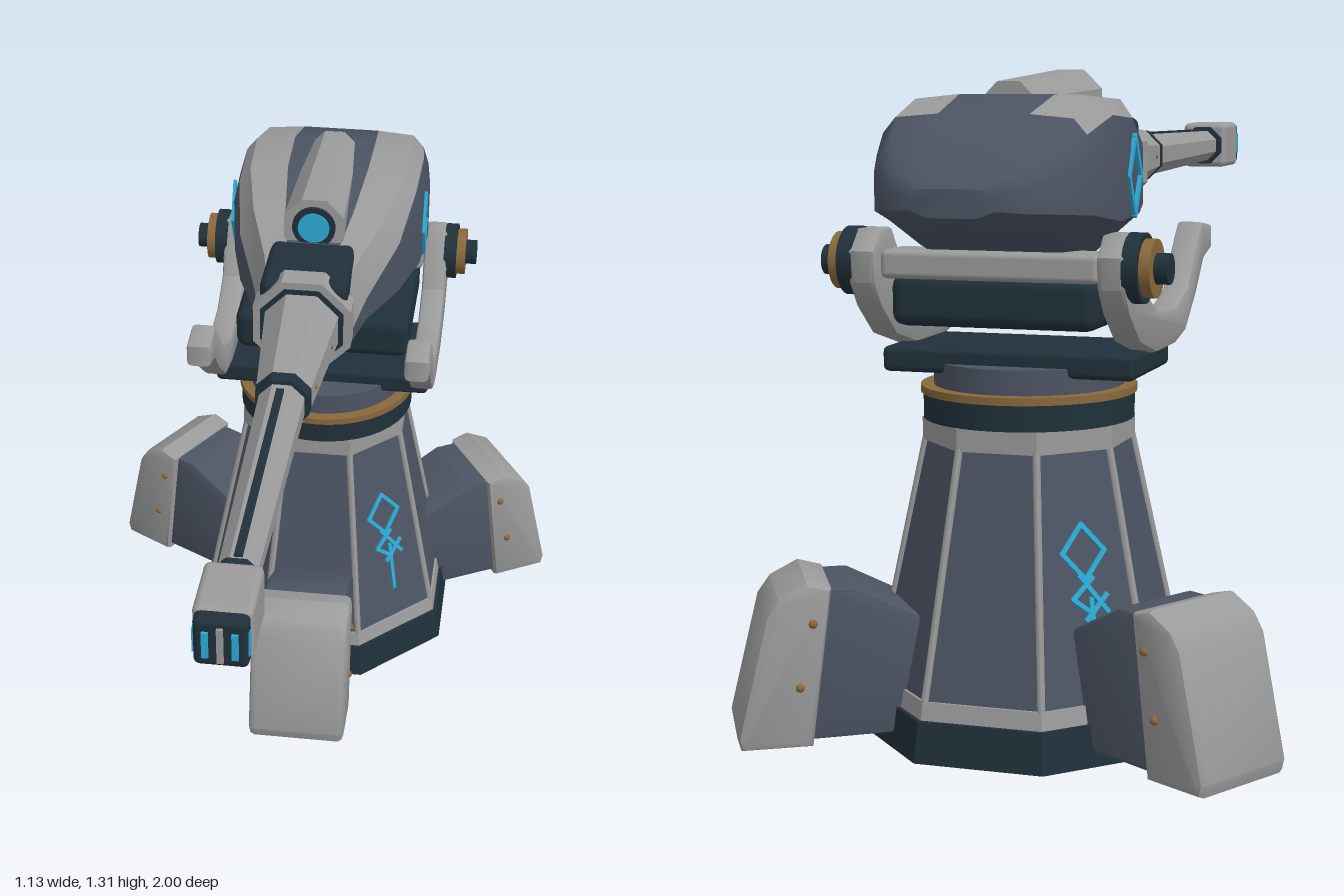
import * as THREE from 'three';
import { toCreasedNormals } from 'three/addons/utils/BufferGeometryUtils.js';
import { RoundedBoxGeometry } from 'three/addons/geometries/RoundedBoxGeometry.js';

const material = (name, color, side = THREE.FrontSide) => {
  const m = new THREE.MeshStandardMaterial({ color, side });
  m.name = name;
  return m;
};
const light = material('light plate', 0x9a9b9a);
const slate = material('slate armour', 0x4c5463);
const dark = material('dark metal', 0x20303a);
const bronze = material('bronze', 0x8a683c);
const glow = material('blue glow', 0x2cabd8);

const ZC = -0.58; // centre line of the pedestal
const GUN_Y = 1.11; // barrel axis

function add(parent, name, geometry, mat, x = 0, y = 0, z = 0) {
  const mesh = new THREE.Mesh(geometry, mat);
  mesh.name = name;
  mesh.position.set(x, y, z);
  parent.add(mesh);
  return mesh;
}
function box(parent, name, mat, w, h, d, x, y, z, r = 0.012) {
  return add(parent, name, new RoundedBoxGeometry(w, h, d, 2, r), mat, x, y, z);
}
// Octagonal frustum, sized across its flats, standing on y
function octagon(low, high, height) {
  const k = 1 / Math.cos(Math.PI / 8);
  const g = new THREE.CylinderGeometry(high * k, low * k, height, 8).rotateY(Math.PI / 8);
  return toCreasedNormals(g, 0.5);
}
function octY(parent, name, mat, low, high, y0, y1) {
  return add(parent, name, octagon(low, high, y1 - y0), mat, 0, (y0 + y1) / 2, ZC);
}
function octZ(parent, name, mat, back, front, z0, z1, y = GUN_Y) {
  return add(parent, name, octagon(back, front, z1 - z0).rotateX(Math.PI / 2), mat, 0, y, (z0 + z1) / 2);
}
function drum(parent, name, mat, r, y0, y1) {
  return add(parent, name, new THREE.CylinderGeometry(r, r, y1 - y0, 40), mat, 0, (y0 + y1) / 2, ZC);
}
// Side profile of [z, y] points, extruded across x with bevelled edges
function profile(points, width, bevel = 0.01) {
  const shape = new THREE.Shape(points.map(([z, y]) => new THREE.Vector2(-z, y)));
  const g = new THREE.ExtrudeGeometry(shape, {
    depth: width - 2 * bevel, bevelThickness: bevel, bevelSize: bevel, bevelOffset: -bevel, bevelSegments: 2,
  });
  return toCreasedNormals(g.translate(0, 0, bevel - width / 2).rotateY(Math.PI / 2), 0.6);
}
// Thin glowing strokes on the local xy plane
function stroke(parent, a, b, w = 0.009) {
  const dx = b[0] - a[0], dy = b[1] - a[1];
  const g = new THREE.BoxGeometry(Math.hypot(dx, dy) + w * 0.6, w, 0.007);
  const m = add(parent, 'glowStroke', g, glow, (a[0] + b[0]) / 2, (a[1] + b[1]) / 2, 0);
  m.rotation.z = Math.atan2(dy, dx);
}
function diamond(parent, cx, cy, hw, hh, w) {
  const p = [[cx, cy + hh], [cx + hw, cy], [cx, cy - hh], [cx - hw, cy]];
  p.forEach((a, i) => stroke(parent, a, p[(i + 1) % 4], w));
}

function buildPedestal(root) {
  octY(root, 'foundation', dark, 0.312, 0.302, 0, 0.08);
  octY(root, 'lowerBand', light, 0.294, 0.288, 0.08, 0.115);
  octY(root, 'tower', slate, 0.284, 0.188, 0.11, 0.59);
  octY(root, 'upperBand', light, 0.195, 0.195, 0.585, 0.63);
  drum(root, 'turntable', dark, 0.209, 0.63, 0.683);
  drum(root, 'turntableRing', bronze, 0.214, 0.681, 0.696);
  drum(root, 'neck', slate, 0.188, 0.69, 0.745);
  // Seam strips along the corners
  const k = 1 / Math.cos(Math.PI / 8);
  for (let i = 0; i < 8; i++) {
    const a = (i + 0.5) * Math.PI / 4;
    const at = (r, y) => new THREE.Vector3(Math.sin(a) * r * k, y, ZC + Math.cos(a) * r * k);
    const path = new THREE.LineCurve3(at(0.283, 0.11), at(0.188, 0.59));
    add(root, 'seamStrip', new THREE.TubeGeometry(path, 1, 0.008, 6), light);
  }
  // Runes on two opposite faces
  for (const turn of [0.25, 1.25]) {
    const face = new THREE.Group();
    face.name = 'rune';
    face.rotation.set(-0.2, turn * Math.PI, 0, 'YXZ');
    face.position.set(Math.sin(turn * Math.PI) * 0.248, 0.3, ZC + Math.cos(turn * Math.PI) * 0.248);
    diamond(face, 0, 0.1, 0.045, 0.053);
    stroke(face, [-0.012, 0.055], [0.042, -0.018]);
    stroke(face, [0.015, 0.05], [-0.03, 0.012]);
    stroke(face, [-0.03, 0.012], [0.01, -0.02]);
    stroke(face, [0.042, 0.015], [-0.005, -0.03]);
    stroke(face, [0.008, 0.01], [0.008, -0.11]);
    root.add(face);
  }
}

function buildLegs(root) {
  const beam = profile([[0.18, 0.03], [0.47, 0.025], [0.43, 0.322], [0.36, 0.322], [0.18, 0.23]], 0.2);
  const cover = profile([[0.448, 0.015], [0.585, 0.015], [0.592, 0.04], [0.535, 0.275], [0.51, 0.31],
    [0.455, 0.338], [0.408, 0.325]], 0.23, 0.014);
  for (let i = 0; i < 3; i++) {
    const leg = new THREE.Group();
    leg.name = 'leg';
    leg.position.z = ZC;
    leg.rotation.y = i * Math.PI * 2 / 3;
    add(leg, 'legBeam', beam, slate);
    add(leg, 'legCover', cover, light);
    for (const s of [-1, 1]) for (const [r, y] of [[0.445, 0.26], [0.472, 0.136]])
      add(leg, 'bolt', new THREE.SphereGeometry(0.009, 10, 8), bronze, s * 0.114, y, r);
    root.add(leg);
  }
}

function buildCradle(root) {
  box(root, 'cradlePlate', dark, 0.51, 0.05, 0.26, 0, 0.75, -0.59);
  box(root, 'cradleBlock', dark, 0.41, 0.1, 0.35, 0, 0.875, -0.625, 0.025);
  box(root, 'crossBar', light, 0.43, 0.055, 0.1, 0, 0.945, -0.77);
  const arm = profile([[-0.185, 0.985], [-0.265, 0.995], [-0.315, 0.945], [-0.378, 0.87], [-0.47, 0.84],
    [-0.6, 0.848], [-0.68, 0.89], [-0.715, 0.97], [-0.745, 1.01], [-0.8, 1.01], [-0.84, 0.97], [-0.835, 0.91],
    [-0.8, 0.86], [-0.727, 0.8], [-0.61, 0.768], [-0.475, 0.768], [-0.394, 0.785], [-0.314, 0.85],
    [-0.25, 0.918], [-0.185, 0.935]], 0.056);
  for (const s of [-1, 1]) {
    add(root, 'cradleArm', arm, light, s * 0.245);
    for (const [name, mat, r, x0, x1] of [['hubDisc', dark, 0.066, 0.265, 0.295],
      ['hubRing', bronze, 0.055, 0.295, 0.316], ['hubCap', dark, 0.029, 0.316, 0.342]]) {
      const g = new THREE.CylinderGeometry(r, r, x1 - x0, 28).rotateZ(Math.PI / 2);
      add(root, name, g, mat, s * (x0 + x1) / 2, 0.947, -0.775);
    }
  }
}

// Body shell from cross-sections: z, half width, top, bottom, depth of the light band
const STATIONS = [
  [-0.12, 0.098, 1.185, 1.02, 0.68], [-0.25, 0.125, 1.195, 1.0, 0.48], [-0.4, 0.182, 1.232, 0.975, 0.28],
  [-0.55, 0.218, 1.26, 0.957, 0.15], [-0.7, 0.226, 1.262, 0.948, 0.12], [-0.83, 0.212, 1.228, 0.985, 0.15],
  [-0.92, 0.18, 1.175, 1.012, 0.15], [-0.975, 0.135, 1.13, 1.032, 0.15], [-1.0, 0.08, 1.1, 1.048, 0.15],
];
function bodyShell(wantLight) {
  const rings = STATIONS.map(([z, w, t, b, s]) => {
    const h = t - b, low = Math.min(0.25, 0.87 - s);
    const half = [[0, t], [0.42 * w, t], [0.82 * w, t - 0.03 * h], [Math.min(1, 0.87 + 0.45 * s) * w, t - s * h],
      [w, t - Math.max(0.32, s + 0.08) * h], [w, b + low * h], [0.6 * w, b], [0, b]];
    const mirrored = half.slice(1, 7).reverse().map(([x, y]) => [-x, y]);
    return [...half, ...mirrored].map(([x, y]) => [x, y, z]);
  });
  const pos = [], n = 14, last = rings.length - 1;
  for (let i = 0; i < last; i++) for (let j = 0; j < n; j++) {
    const isLight = i < 5 && [1, 2, 11, 12].includes(j);
    if (isLight !== wantLight) continue;
    const k = (j + 1) % n, a = rings[i][j], b = rings[i][k], c = rings[i + 1][k], d = rings[i + 1][j];
    pos.push(...a, ...b, ...c, ...a, ...c, ...d);
  }
  if (!wantLight) for (let j = 1; j < n - 1; j++) {
    pos.push(...rings[0][0], ...rings[0][j + 1], ...rings[0][j]);
    pos.push(...rings[last][0], ...rings[last][j], ...rings[last][j + 1]);
  }
  const g = new THREE.BufferGeometry();
  g.setAttribute('position', new THREE.Float32BufferAttribute(pos, 3));
  return toCreasedNormals(g, 0.6);
}

function buildBody(root) {
  add(root, 'bodyShell', bodyShell(false), slate);
  add(root, 'shoulderPanels', bodyShell(true), light);
  for (const s of [-1, 1]) {
    const mark = new THREE.Group();
    mark.name = 'sideMark';
    mark.position.set(s * 0.224, 1.107, -0.605);
    mark.rotation.y = s * Math.PI / 2;
    diamond(mark, 0, 0, 0.04, 0.075, 0.012);
    root.add(mark);
  }
  // Sight on top
  const sight = octZ(root, 'sightHousing', light, 0.055, 0.066, -0.69, -0.3, 1.236);
  sight.rotation.x = -0.025;
  const disc = (name, mat, r, z) => add(root, name,
    new THREE.CylinderGeometry(r, r, 0.008, 32).rotateX(Math.PI / 2), mat, 0, 1.243, z);
  disc('sightRim', dark, 0.048, -0.299);
  disc('sightLens', glow, 0.035, -0.296);
  box(root, 'breech', dark, 0.19, 0.12, 0.2, 0, 1.146, -0.21, 0.02);
}

function buildGun(root) {
  octZ(root, 'collar', light, 0.106, 0.106, -0.15, -0.095);
  octZ(root, 'collarInset', dark, 0.09, 0.09, -0.11, -0.092);
  octZ(root, 'shroud', light, 0.08, 0.056, -0.1, 0.19);
  octZ(root, 'shroudRing', dark, 0.057, 0.055, 0.185, 0.215);
  octZ(root, 'barrel', light, 0.047, 0.037, 0.21, 0.81);
  const slot = add(root, 'barrelSlot', new THREE.BoxGeometry(0.016, 0.009, 0.55), dark, 0, GUN_Y + 0.042, 0.51);
  slot.rotation.x = Math.atan(0.01 / 0.6);
  octZ(root, 'muzzleRing', dark, 0.046, 0.046, 0.8, 0.83);
  box(root, 'muzzle', light, 0.11, 0.112, 0.145, 0, GUN_Y, 0.893, 0.014);
  box(root, 'muzzleCap', dark, 0.1, 0.102, 0.04, 0, GUN_Y, 0.972, 0.012);
  add(root, 'muzzleBar', new THREE.BoxGeometry(0.012, 0.075, 0.008), light, 0, GUN_Y, 0.994);
  for (const s of [-1, 1]) {
    add(root, 'muzzleGlow', new THREE.BoxGeometry(0.012, 0.055, 0.008), glow, s * 0.027, GUN_Y, 0.994);
    add(root, 'muzzleSideGlow', new THREE.BoxGeometry(0.006, 0.05, 0.014), glow, s * 0.049, GUN_Y, 0.978);
    for (const z of [-0.02, 0.14]) add(root, 'shroudBolt', new THREE.SphereGeometry(0.005, 8, 6), bronze,
      s * (0.073 - (z + 0.02) * 0.083), GUN_Y, z);
  }
}

export function createModel() {
  const root = new THREE.Group();
  root.name = 'turret';
  buildPedestal(root);
  buildLegs(root);
  buildCradle(root);
  buildBody(root);
  buildGun(root);
  return root;
}
